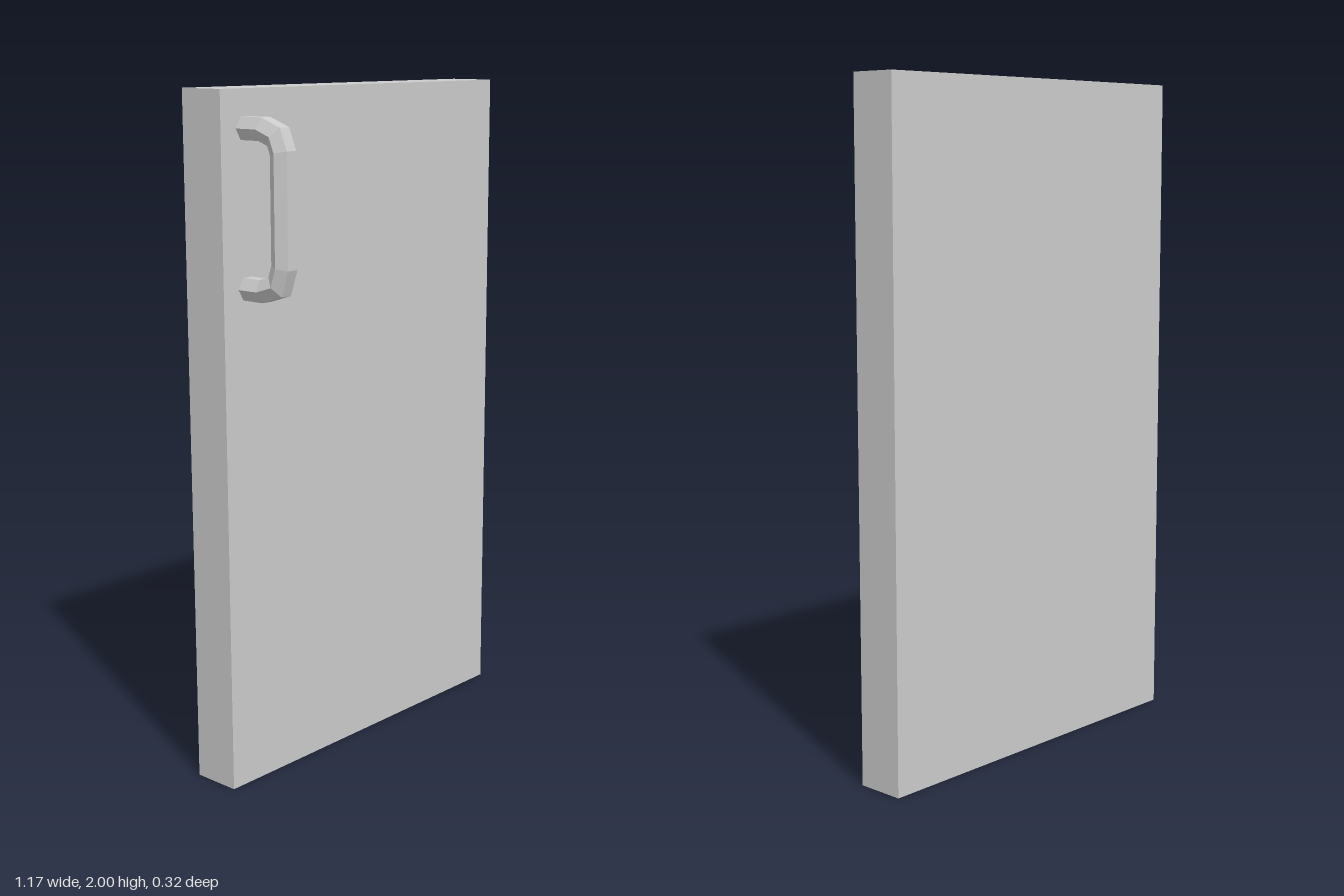
import * as THREE from 'three';

// Mitred six-sided tube along a bent path of [z, y] points at a fixed x
function hexTube(path, x, radius, sides = 6) {
  const points = path.map(([z, y]) => new THREE.Vector2(z, y));
  const positions = [];
  const index = [];
  points.forEach((p, i) => {
    const before = p.clone().sub(points[Math.max(i - 1, 0)]).normalize();
    const after = points[Math.min(i + 1, points.length - 1)].clone().sub(p).normalize();
    const t = before.clone().add(after).normalize();
    const miter = radius / Math.max(t.dot(before), t.dot(after));
    for (let j = 0; j < sides; j++) {
      const a = (j / sides) * Math.PI * 2;
      const s = Math.sin(a) * miter;
      positions.push(x + Math.cos(a) * radius, p.y + t.x * s, p.x - t.y * s);
      if (i < points.length - 1) {
        const k = (j + 1) % sides;
        const a0 = i * sides + j, b0 = i * sides + k;
        index.push(a0, b0, b0 + sides, a0, b0 + sides, a0 + sides);
      }
    }
  });
  const geometry = new THREE.BufferGeometry();
  geometry.setAttribute('position', new THREE.Float32BufferAttribute(positions, 3));
  geometry.setIndex(index);
  const flat = geometry.toNonIndexed();
  flat.computeVertexNormals();
  return flat;
}

export function createModel() {
  const model = new THREE.Group();
  model.name = 'door';
  const grey = new THREE.MeshStandardMaterial({ color: 0xcccccc, flatShading: true });

  // Door slab, turned very slightly about the vertical
  const panel = new THREE.Mesh(new THREE.BoxGeometry(1.172, 2, 0.147), grey);
  panel.name = 'doorPanel';
  panel.position.set(0, 1, -0.082);
  panel.rotation.y = -0.008;
  model.add(panel);

  // Pull handle whose ends sink just into the slab
  const path = [
    [-0.014, 1.895], [0.06, 1.895], [0.11, 1.877], [0.127, 1.835],
    [0.127, 1.53], [0.109, 1.477], [0.055, 1.46], [-0.014, 1.46],
  ];
  const handle = new THREE.Mesh(hexTube(path, -0.495, 0.036), grey);
  handle.name = 'handle';
  model.add(handle);

  return model;
}
